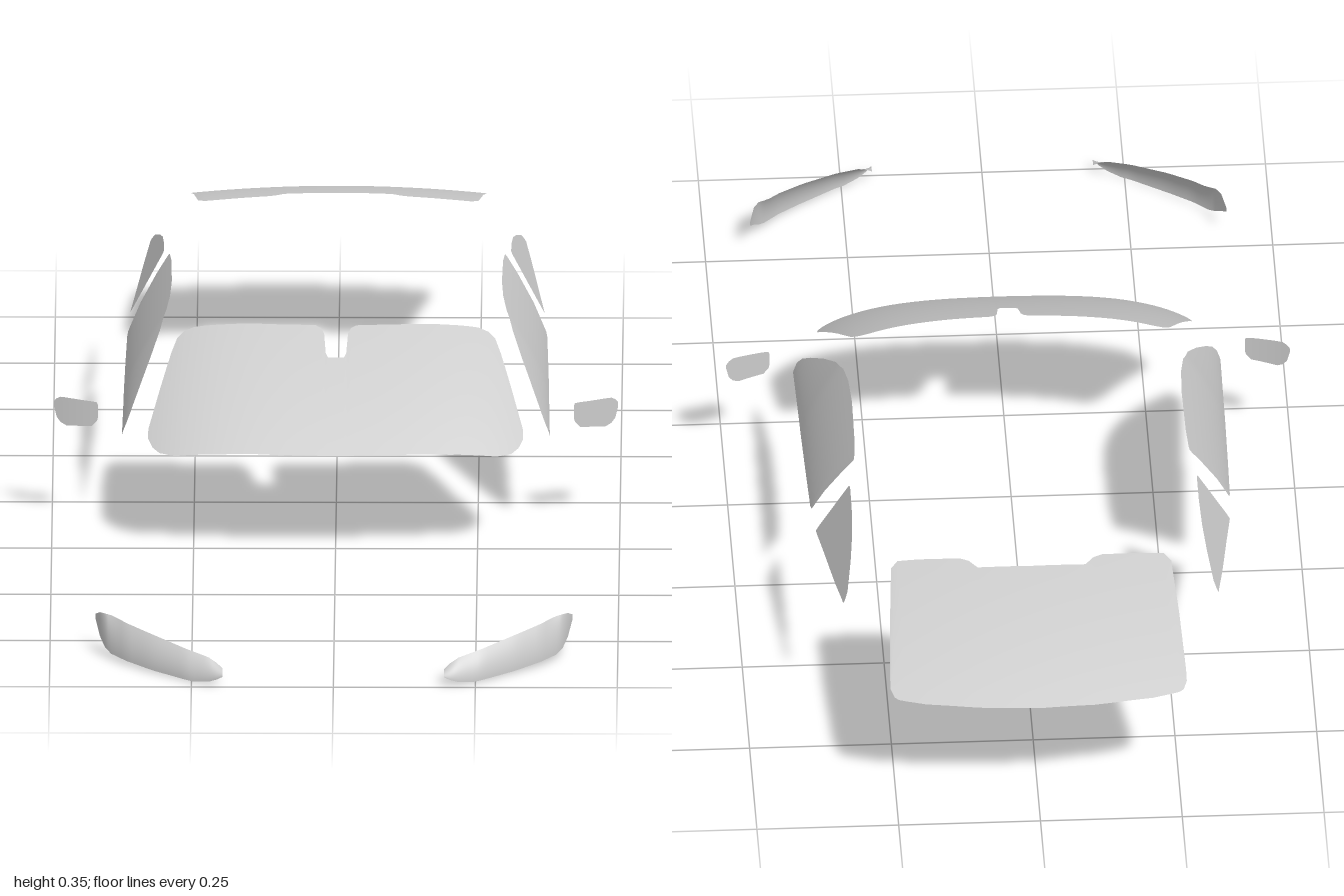
import * as THREE from 'three';

const glass = new THREE.MeshStandardMaterial({ color: 0xcccccc, side: THREE.DoubleSide });

// Curved sheet: profile rows are [u, low edge, high edge]; place(u, v, t) gives the 3D point.
function panel(name, profile, place, flip = false, step = 0.02, rows = 12) {
  const cols = [];
  profile.forEach((p, i) => {
    const q = profile[i + 1];
    if (!q) return cols.push(p);
    const n = Math.max(1, Math.ceil(Math.abs(q[0] - p[0]) / step));
    for (let k = 0; k < n; k++) cols.push(p.map((a, j) => a + (q[j] - a) * k / n));
  });
  const pos = [], idx = [];
  cols.forEach(([u, lo, hi], i) => {
    for (let r = 0; r <= rows; r++) {
      const t = r / rows;
      pos.push(...place(u, lo + (hi - lo) * t, t));
      if (i && r) {
        const d = i * (rows + 1) + r, c = d - 1, b = d - rows - 1, a = b - 1;
        if (flip) idx.push(a, d, c, a, b, d);
        else idx.push(a, c, d, a, d, b);
      }
    }
  });
  const geo = new THREE.BufferGeometry();
  geo.setAttribute('position', new THREE.Float32BufferAttribute(pos, 3));
  geo.setIndex(idx);
  geo.computeVertexNormals();
  const mesh = new THREE.Mesh(geo, glass);
  mesh.name = name;
  return mesh;
}

// Half profile (x >= 0) to a full symmetric one
const mirrored = half => [...half.slice(1).reverse().map(([x, a, b]) => [-x, a, b]), ...half];

// Linear lookup in a list of [x, y] points
function lookup(points, x) {
  for (let i = 1; i < points.length; i++) {
    const [x0, y0] = points[i - 1], [x1, y1] = points[i];
    if (x <= x1) return y0 + (y1 - y0) * (x - x0) / (x1 - x0);
  }
  return points[points.length - 1][1];
}

export function createModel() {
  const car = new THREE.Group();
  car.name = 'carGlass';

  // Windscreen with a notch in its top edge; edges are given in z
  const screen = mirrored([
    [0, 0.33, 0.13], [0.014, 0.33, 0.13], [0.018, 0.33, 0.12], [0.021, 0.33, 0.075],
    [0.026, 0.33, 0.062], [0.036, 0.329, 0.055], [0.1, 0.327, 0.051], [0.2, 0.316, 0.039],
    [0.25, 0.306, 0.031], [0.268, 0.301, 0.034], [0.28, 0.298, 0.045], [0.29, 0.293, 0.075],
    [0.31, 0.279, 0.148], [0.322, 0.262, 0.192], [0.33, 0.24, 0.22],
  ]);
  car.add(panel('windscreen', screen, (x, z) => {
    const s = (z - 0.055) / 0.275;
    const y = 0.352 - 0.149 * s + 0.03 * s * (1 - s) - 0.15 * x * x - 3.3 * x ** 4;
    return [x, y, z];
  }));

  // Rear window with a shallow recess in its front edge
  const rear = mirrored([
    [0, -0.697, -1], [0.095, -0.695, -0.995], [0.11, -0.678, -0.993], [0.125, -0.671, -0.991],
    [0.2, -0.665, -0.979], [0.235, -0.664, -0.969], [0.247, -0.68, -0.965],
    [0.255, -0.8, -0.959], [0.261, -0.92, -0.942],
  ]);
  car.add(panel('rearWindow', rear, (x, z) => {
    const s = (-z - 0.695) / 0.305;
    return [x, 0.34 - 0.095 * s + 0.03 * s * (1 - s) - 0.2 * x * x, z];
  }));

  // Side pieces: windows use [z, low y, high y], mirrors and headlights [x, low y, high y]
  const door = [
    [-0.358, 0.336, 0.342], [-0.35, 0.31, 0.344], [-0.318, 0.212, 0.347], [-0.305, 0.207, 0.348],
    [-0.19, 0.2, 0.35], [-0.12, 0.196, 0.346], [-0.07, 0.193, 0.337], [-0.02, 0.19, 0.317],
    [0.04, 0.186, 0.283], [0.1, 0.182, 0.244], [0.135, 0.18, 0.218], [0.15, 0.179, 0.2],
  ];
  const quarter = [
    [-0.675, 0.256, 0.262], [-0.663, 0.255, 0.273], [-0.6, 0.245, 0.295], [-0.545, 0.238, 0.31],
    [-0.48, 0.23, 0.321], [-0.42, 0.222, 0.327], [-0.412, 0.221, 0.324], [-0.397, 0.219, 0.23],
  ];
  const mirror = [
    [0.419, 0.207, 0.23], [0.421, 0.2, 0.235], [0.43, 0.19, 0.236], [0.475, 0.186, 0.238],
    [0.485, 0.191, 0.238], [0.492, 0.2, 0.234], [0.497, 0.22, 0.228],
  ];
  const lamp = [
    [0.195, 0.022, 0.029], [0.205, 0.015, 0.037], [0.22, 0.008, 0.045], [0.245, 0.003, 0.05],
    [0.317, 0.006, 0.064], [0.365, 0.01, 0.072], [0.392, 0.013, 0.077], [0.403, 0.02, 0.078],
    [0.412, 0.034, 0.076], [0.42, 0.055, 0.064],
  ];
  const lampFront = [[0.195, 1], [0.26, 0.963], [0.323, 0.916], [0.365, 0.88],
    [0.392, 0.85], [0.403, 0.835], [0.412, 0.815], [0.42, 0.782]];

  for (const [side, m] of [['left', 1], ['right', -1]]) {
    car.add(
      panel(side + 'DoorWindow', door, (z, y) => {
        const t = Math.max(0, (y - 0.178) / 0.17);
        return [m * (0.377 - 0.085 * t ** 1.4 - 0.1 * t * Math.max(0, z + 0.05)), y, z];
      }, m > 0),
      panel(side + 'QuarterWindow', quarter, (z, y) =>
        [m * (0.365 - 0.54 * (y - 0.219) - 0.05 * (-0.4 - z)), y, z], m > 0),
      panel(side + 'MirrorGlass', mirror, (x, y) =>
        [m * x, y, 0.135 - 0.25 * (x - 0.42) - 1.3 * (x - 0.42) ** 2], m > 0, 0.01, 6),
      panel(side + 'HeadlightCover', lamp, (x, y, t) =>
        [m * x, y, lookup(lampFront, x) - 0.025 * t * t * Math.min(1, (0.422 - x) * 30)],
      m < 0, 0.01),
    );
  }
  return car;
}
